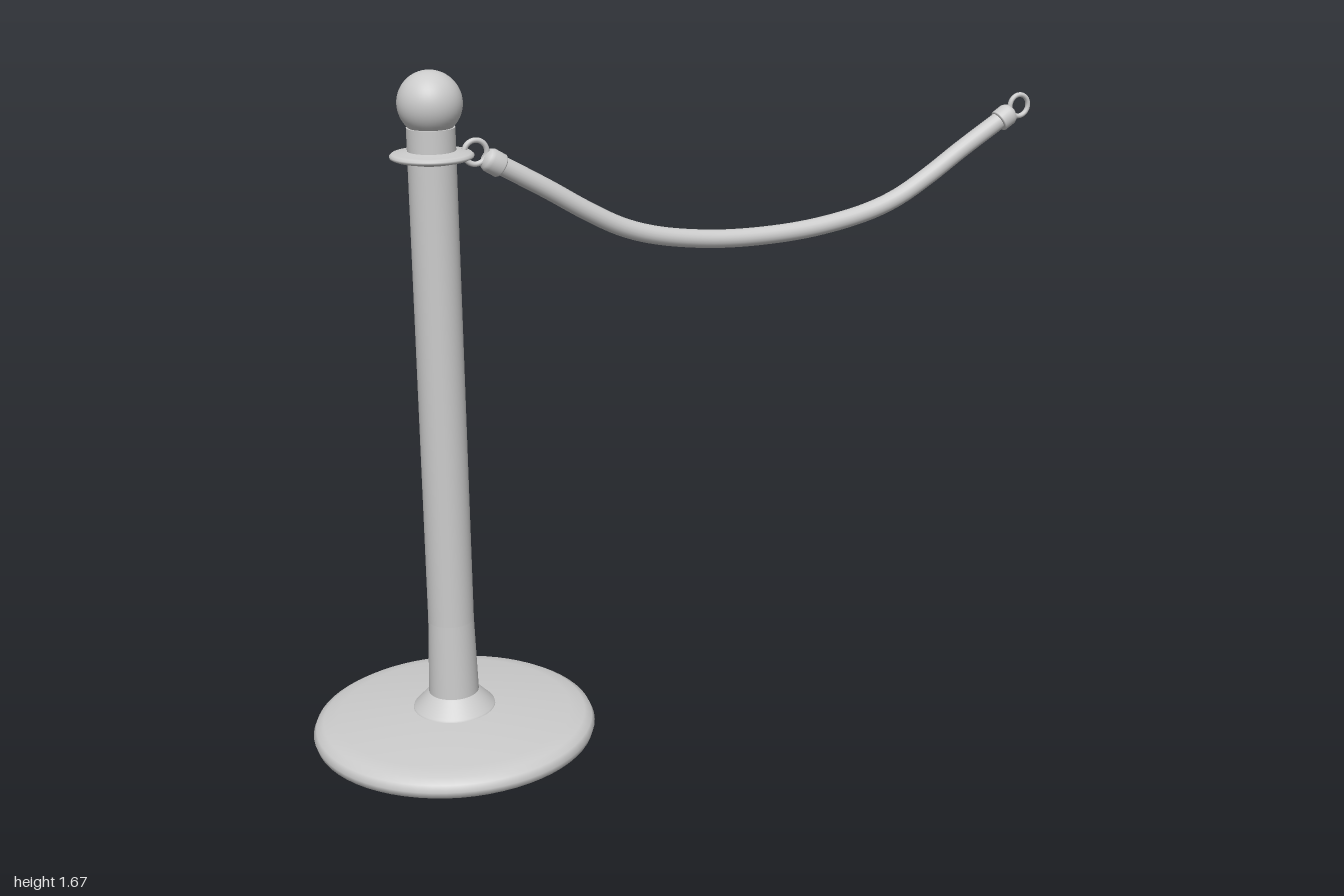
import * as THREE from 'three';

const POST_X = -0.65;
const MID_X = 0.21; // the rope is symmetric about this x

export function createModel() {
  const model = new THREE.Group();
  const grey = new THREE.MeshStandardMaterial({ color: 0xcccccc });
  const add = (name, geometry, parent = model) => {
    const mesh = new THREE.Mesh(geometry, grey);
    mesh.name = name;
    parent.add(mesh);
    return mesh;
  };
  const lathe = (points, segments = 48) =>
    new THREE.LatheGeometry(points.map(([r, y]) => new THREE.Vector2(r, y)), segments);

  // Post assembly, all turned around one axis
  const stanchion = new THREE.Group();
  stanchion.name = 'stanchion';
  stanchion.position.x = POST_X;
  model.add(stanchion);

  add('base', lathe([
    [0, 0], [0.29, 0], [0.325, 0.006], [0.345, 0.018], [0.35, 0.034],
    [0.343, 0.05], [0.325, 0.061], [0.29, 0.068], [0.2, 0.077], [0.1, 0.086], [0, 0.088],
  ], 64), stanchion);
  add('baseFlare', lathe([[0.102, 0.084], [0.1, 0.09], [0.064, 0.127], [0.058, 0.13]]), stanchion);
  add('postFoot', new THREE.CylinderGeometry(0.056, 0.062, 0.2, 40), stanchion).position.y = 0.22;
  add('post', new THREE.CylinderGeometry(0.056, 0.056, 1.42, 40), stanchion).position.y = 0.83;
  add('ball', new THREE.SphereGeometry(0.075, 40, 28), stanchion).position.y = 1.595;

  // Collar the rope hooks onto
  add('collar', lathe([
    [0.05, 1.458], [0.07, 1.464], [0.088, 1.467], [0.096, 1.471], [0.097, 1.476],
    [0.092, 1.481], [0.082, 1.482], [0.07, 1.484], [0.05, 1.488],
  ]), stanchion);

  // Hanging rope
  const half = [[0.7, 1.442], [0.58, 1.372], [0.48, 1.31], [0.39, 1.262], [0.3, 1.232], [0.15, 1.207]];
  const path = [
    ...half.map(([d, y]) => new THREE.Vector3(MID_X - d, y, 0)),
    new THREE.Vector3(MID_X, 1.2, 0),
    ...half.slice().reverse().map(([d, y]) => new THREE.Vector3(MID_X + d, y, 0)),
  ];
  add('rope', new THREE.TubeGeometry(new THREE.CatmullRomCurve3(path), 72, 0.023, 20));

  // End fitting at each end: a ferrule and a ring
  for (const side of [-1, 1]) {
    const fitting = new THREE.Group();
    fitting.name = side < 0 ? 'rightEndFitting' : 'leftEndFitting';
    fitting.position.set(MID_X + side * 0.755, 1.474, 0);
    // Local -y runs from the ring down along the rope
    fitting.rotation.z = -side * 1.02;
    model.add(fitting);
    add('ring', new THREE.TorusGeometry(0.028, 0.0065, 12, 36), fitting);
    add('ferrule', lathe([
      [0, -0.074], [0.026, -0.074], [0.029, -0.07], [0.029, -0.04],
      [0.025, -0.031], [0.014, -0.024], [0, -0.023],
    ], 28), fitting);
  }

  return model;
}
